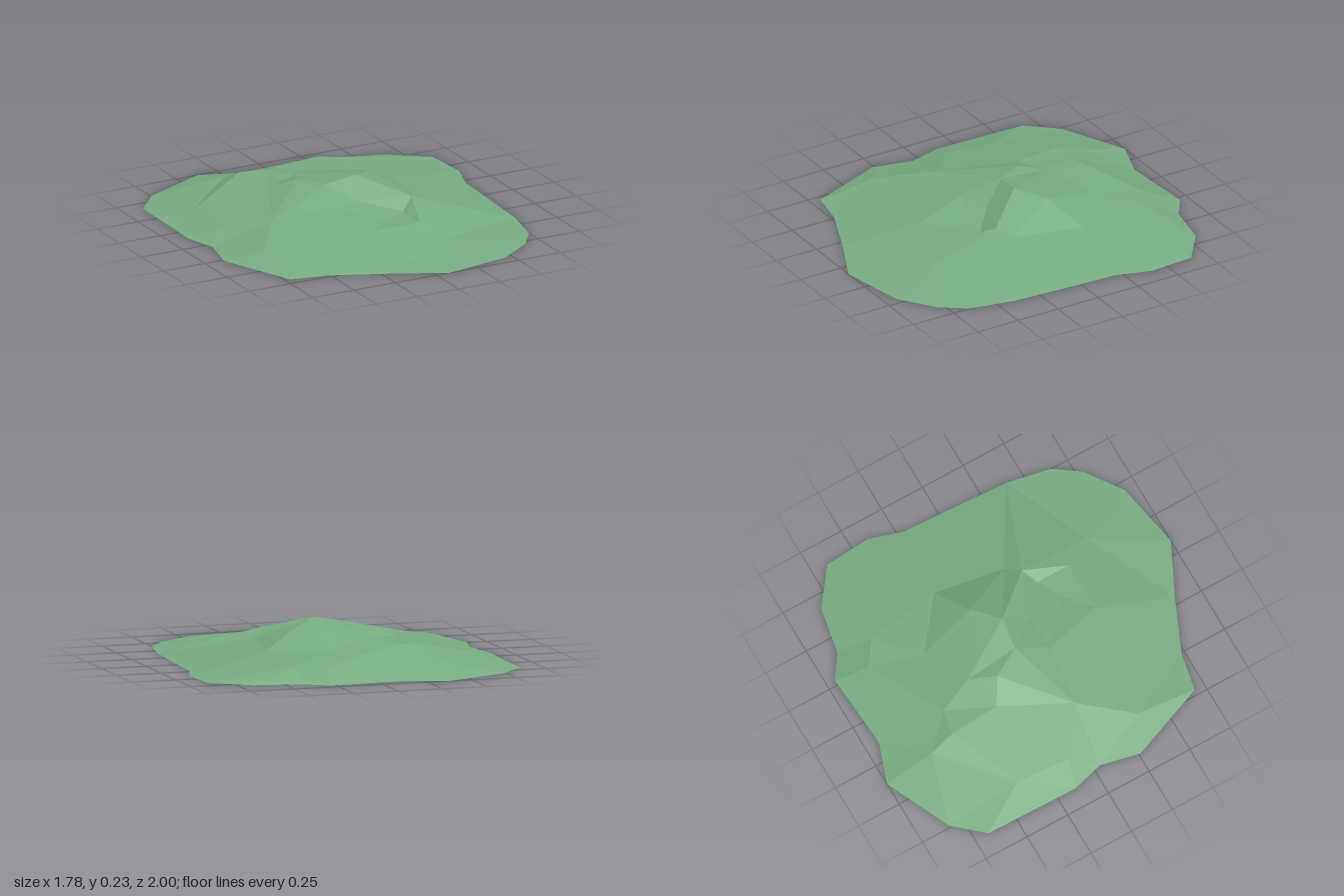
import * as THREE from 'three';

// Foot of the hill: x, z
const outline = [
  [-0.37, -1], [-0.14, -0.92], [0.28, -0.95], [0.41, -0.86], [0.67, -0.81], [0.87, -0.66],
  [0.89, -0.4], [0.83, -0.21], [0.82, 0.03], [0.8, 0.4], [0.75, 0.65], [0.65, 0.79],
  [0.45, 0.93], [0.08, 1], [-0.21, 0.86], [-0.51, 0.73], [-0.72, 0.69], [-0.89, 0.26],
  [-0.84, 0.04], [-0.89, -0.14], [-0.88, -0.67], [-0.74, -0.83],
];

// Peaks, ridges and hollows: x, height, z
const relief = [
  [0.07, 0.23, -0.04], [-0.1, 0.2, -0.06], [-0.19, 0.195, -0.22], [0.21, 0.195, -0.16],
  [-0.32, 0.14, -0.3], [-0.12, 0.165, -0.36], [-0.2, 0.14, -0.56], [-0.34, 0.145, -0.58],
  [-0.36, 0.08, -0.72], [0.14, 0.11, -0.48], [0.23, 0.075, -0.77], [0.36, 0.08, -0.68],
  [0.42, 0.09, -0.26], [0.35, 0.105, 0.13], [0.28, 0.15, 0.2], [0.2, 0.09, 0.44],
  [0.2, 0.09, 0.25], [0.02, 0.13, 0.1], [-0.17, 0.135, 0.12], [0.07, 0.085, 0.32],
  [-0.08, 0.09, 0.45], [0.3, 0.04, 0.61], [-0.5, 0.105, 0.08], [-0.7, 0.05, 0.35],
  [-0.74, 0.05, -0.1], [-0.72, 0.05, -0.4],
];

// Delaunay triangles in plan: keep those whose circumcircle holds no other point
function triangulate(points) {
  const triangles = [];
  const n = points.length;
  for (let i = 0; i < n; i++) for (let j = i + 1; j < n; j++) for (let k = j + 1; k < n; k++) {
    const [a, b, c] = [points[i], points[j], points[k]];
    const bx = b.x - a.x, bz = b.z - a.z, cx = c.x - a.x, cz = c.z - a.z;
    const d = 2 * (bx * cz - bz * cx);
    if (Math.abs(d) < 1e-6) continue;
    const b2 = bx * bx + bz * bz, c2 = cx * cx + cz * cz;
    const ux = (cz * b2 - bz * c2) / d, uz = (bx * c2 - cx * b2) / d;
    const r2 = ux * ux + uz * uz;
    const empty = points.every((p, m) => m === i || m === j || m === k ||
      (p.x - a.x - ux) ** 2 + (p.z - a.z - uz) ** 2 > r2 - 1e-9);
    if (empty) triangles.push(d < 0 ? [i, j, k] : [i, k, j]); // facing up
  }
  return triangles;
}

export function createModel() {
  const group = new THREE.Group();
  group.name = 'hill';
  const grass = new THREE.MeshStandardMaterial({ color: 0x76ac82, flatShading: true, side: THREE.DoubleSide });
  grass.name = 'grass green';

  // Faceted slopes; triangles lying wholly along the foot are left out
  const points = [
    ...outline.map(([x, z]) => new THREE.Vector3(x, 0, z)),
    ...relief.map((p) => new THREE.Vector3(...p)),
  ];
  const faces = triangulate(points).filter((t) => t.some((i) => i >= outline.length));
  const slopeGeometry = new THREE.BufferGeometry().setFromPoints(faces.flat().map((i) => points[i]));
  slopeGeometry.computeVertexNormals();
  const slopes = new THREE.Mesh(slopeGeometry, grass);
  slopes.name = 'slopes';

  // Flat underside
  const shape = new THREE.Shape(outline.map(([x, z]) => new THREE.Vector2(x, z)));
  const underside = new THREE.Mesh(new THREE.ShapeGeometry(shape).rotateX(Math.PI / 2), grass);
  underside.name = 'underside';

  group.add(slopes, underside);
  return group;
}
